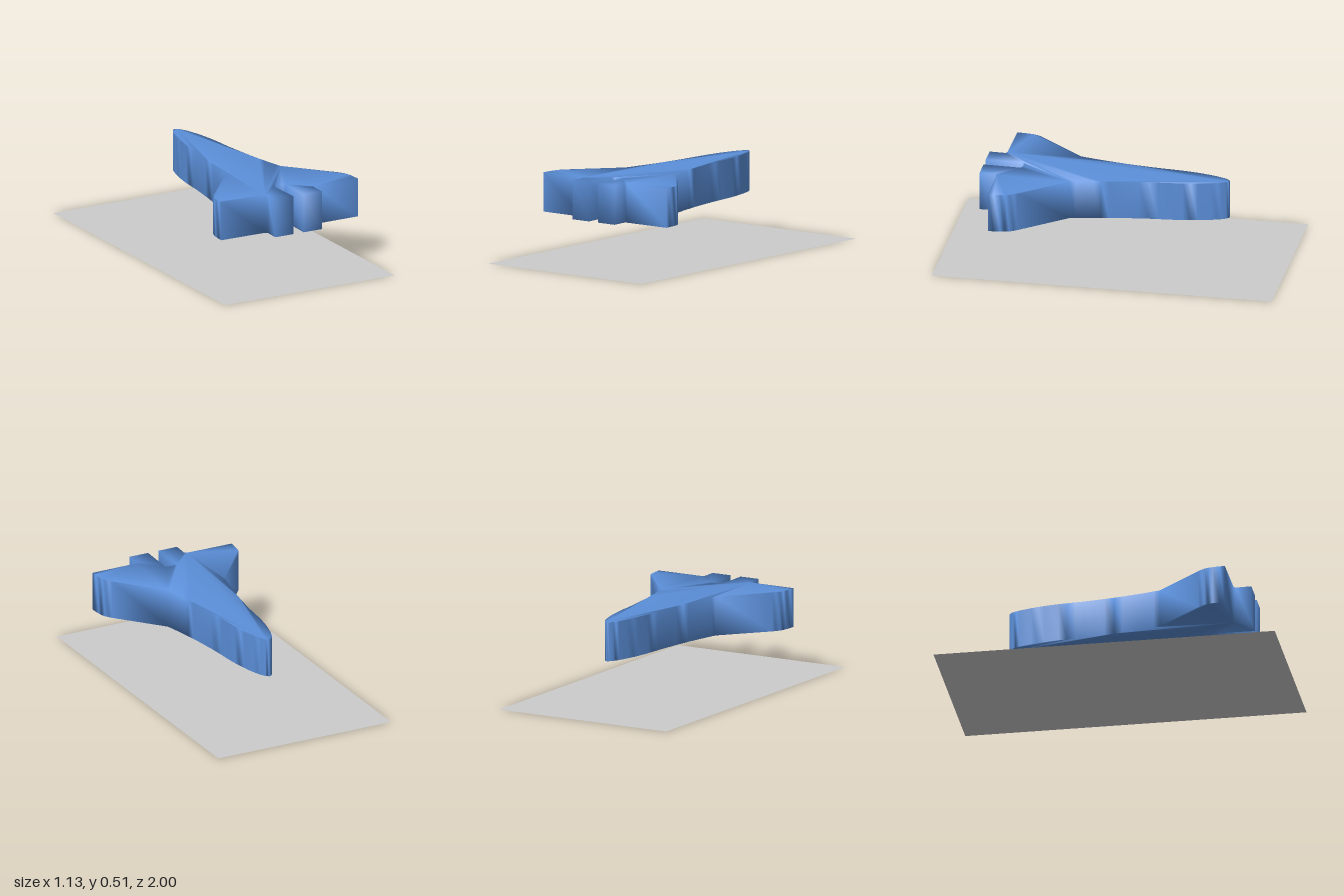
import * as THREE from 'three';
import { mergeVertices } from 'three/addons/utils/BufferGeometryUtils.js';

const CENTRE_X = 0.046;
const BOTTOM = 0.28;
const THICKNESS = 0.23;

// Half outline as [distance from the centre line, z], from nose to exhaust notch
function halfOutline() {
  const v = (d, z) => new THREE.Vector2(d, z);
  const nose = new THREE.SplineCurve([
    v(0, -0.655), v(0.02, -0.64), v(0.045, -0.59), v(0.075, -0.48), v(0.095, -0.35),
    v(0.107, -0.2), v(0.13, -0.02), v(0.155, 0.12), v(0.185, 0.255),
  ]).getPoints(24);
  const wing = new THREE.SplineCurve([v(0.41, 0.518), v(0.438, 0.56), v(0.45, 0.61), v(0.455, 0.682)]).getPoints(6);
  const tail = [v(0.165, 0.685), v(0.152, 0.695), v(0.155, 0.788), v(0.034, 0.788), v(0.04, 0.568), v(0.02, 0.56)];
  return [...nose, ...wing, ...tail];
}

function aircraftGeometry() {
  const half = halfOutline();
  const point = (p, side) => new THREE.Vector2(CENTRE_X + side * p.x, -p.y);
  const points = [
    ...half.map((p) => point(p, 1)),
    new THREE.Vector2(CENTRE_X, -0.558),
    ...half.slice(1).reverse().map((p) => point(p, -1)),
  ];
  const extruded = new THREE.ExtrudeGeometry(new THREE.Shape(points), { depth: THICKNESS, bevelEnabled: false });
  extruded.rotateX(-Math.PI / 2).translate(0, BOTTOM, 0);

  // Shared vertices blend the shading across the caps and walls
  extruded.deleteAttribute('normal');
  extruded.deleteAttribute('uv');
  extruded.clearGroups();
  const geometry = mergeVertices(extruded, 1e-4);
  geometry.computeVertexNormals();
  return geometry;
}

export function createModel() {
  const model = new THREE.Group();
  model.name = 'aircraftOverPlate';

  // Thin ground plate
  const plate = new THREE.Mesh(
    new THREE.PlaneGeometry(1.13, 2).rotateX(-Math.PI / 2),
    new THREE.MeshStandardMaterial({ color: 0xcccccc, side: THREE.DoubleSide }),
  );
  plate.name = 'basePlate';

  // Extruded delta-wing silhouette hovering above the plate
  const aircraft = new THREE.Mesh(aircraftGeometry(), new THREE.MeshStandardMaterial({ color: 0x5b8fd9 }));
  aircraft.name = 'aircraftSilhouette';

  model.add(plate, aircraft);
  return model;
}
